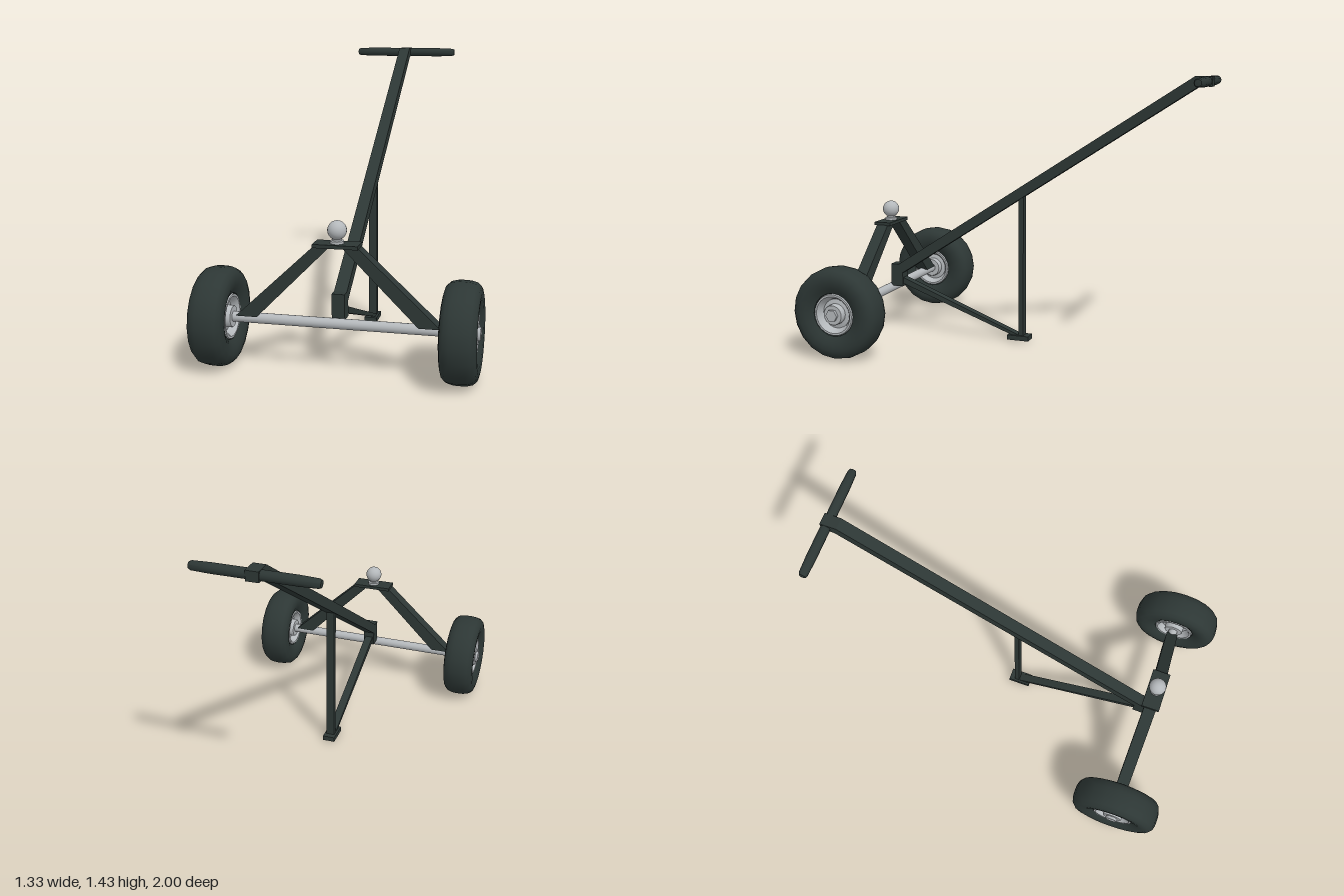
import * as THREE from 'three';
import { toCreasedNormals } from 'three/addons/utils/BufferGeometryUtils.js';

const AXLE_Y = 0.237, AXLE_Z = 0.765;

export function createModel() {
  const model = new THREE.Group();
  model.name = 'trailerDolly';

  const dark = new THREE.MeshStandardMaterial({ color: 0x2d3735 });
  dark.name = 'dark paint and rubber';
  const steel = new THREE.MeshStandardMaterial({ color: 0xb4b8bb });
  steel.name = 'bare steel';

  function add(parent, name, geometry, material, x = 0, y = 0, z = 0) {
    const mesh = new THREE.Mesh(geometry, material);
    mesh.name = name;
    mesh.position.set(x, y, z);
    parent.add(mesh);
    return mesh;
  }

  // Extrudes an outline drawn in x, y, centred on its depth
  function slab(points, depth) {
    const shape = new THREE.Shape(points.map(([x, y]) => new THREE.Vector2(x, y)));
    return new THREE.ExtrudeGeometry(shape, { depth, bevelEnabled: false }).translate(0, 0, -depth / 2);
  }

  // Extrudes a side outline given as [z, y] across the width of the model
  const sideSlab = (points, width) =>
    slab(points.map(([z, y]) => [-z, y]), width).rotateY(Math.PI / 2);

  // Spins a half profile [radius, offset] mirrored about the wheel's middle plane
  function spin(half, segments, closed) {
    const points = [
      ...half.map(([r, o]) => new THREE.Vector2(r, -o)),
      ...half.slice().reverse().map(([r, o]) => new THREE.Vector2(r, o)),
    ];
    if (closed) points.push(points[0].clone());
    return toCreasedNormals(new THREE.LatheGeometry(points, segments).rotateZ(-Math.PI / 2), 0.7);
  }

  // Wheels
  const tireGeometry = spin([
    [0.104, 0.04], [0.112, 0.062], [0.13, 0.072], [0.155, 0.082], [0.185, 0.085],
    [0.212, 0.078], [0.229, 0.06], [0.236, 0.035], [0.238, 0.012],
  ], 20, true);
  const rimGeometry = spin([
    [0, 0.07], [0.05, 0.07], [0.053, 0.066], [0.053, 0.035], [0.076, 0.03],
    [0.084, 0.05], [0.096, 0.066], [0.106, 0.066], [0.11, 0.05],
  ], 24, false);
  const nutGeometry = new THREE.CylinderGeometry(0.032, 0.032, 0.02, 6).rotateZ(Math.PI / 2);
  for (const side of [-1, 1]) {
    const wheel = new THREE.Group();
    wheel.name = side > 0 ? 'leftWheel' : 'rightWheel';
    wheel.position.set(side * 0.58, AXLE_Y, AXLE_Z);
    add(wheel, 'tire', tireGeometry, dark);
    add(wheel, 'rim', rimGeometry, steel);
    add(wheel, 'hubNut', nutGeometry, steel, side * 0.075);
    model.add(wheel);
  }

  // Axle
  add(model, 'axle', new THREE.CylinderGeometry(0.025, 0.025, 1.04, 20).rotateZ(Math.PI / 2),
    steel, 0, AXLE_Y, AXLE_Z);

  // Sloping legs that carry the hitch plate
  for (const side of [-1, 1]) {
    const outline = [[0.487, 0.252], [0.384, 0.252], [0.03, 0.608], [0.106, 0.608]];
    add(model, side > 0 ? 'leftLeg' : 'rightLeg',
      slab(outline.map(([x, y]) => [x * side, y]), 0.065), dark, 0, 0, AXLE_Z);
  }
  add(model, 'hitchPlate', new THREE.BoxGeometry(0.214, 0.017, 0.095), dark, 0, 0.6135, AXLE_Z);

  // Hitch ball on its collar and neck
  const neck = [[0, 0.62], [0.032, 0.62], [0.032, 0.634], [0.023, 0.637], [0.021, 0.652], [0, 0.652]];
  add(model, 'ballNeck', toCreasedNormals(new THREE.LatheGeometry(
    neck.map(([r, y]) => new THREE.Vector2(r, y)), 24), 0.7), steel, 0, 0, AXLE_Z);
  add(model, 'hitchBall', new THREE.SphereGeometry(0.045, 24, 16), steel, 0, 0.683, AXLE_Z);

  // Long bar, from an upright block at the axle to a level end at the handle
  add(model, 'handleBar', sideSlab([
    [0.755, 0.25], [0.755, 0.375], [0.71, 0.375], [-0.915, 1.43], [-1, 1.43],
    [-1, 1.38], [-0.935, 1.38], [0.685, 0.328], [0.685, 0.25],
  ], 0.062), dark);

  // Handle grips with rounded ends
  const grip = [[0, 0.03], [0.023, 0.03], [0.025, 0.04], [0.025, 0.2], [0.022, 0.285], [0.017, 0.297], [0, 0.3]];
  const gripGeometry = toCreasedNormals(
    new THREE.LatheGeometry(grip.map(([r, y]) => new THREE.Vector2(r, y)), 14), 0.7);
  for (const side of [-1, 1]) {
    const mesh = add(model, side > 0 ? 'leftGrip' : 'rightGrip', gripGeometry, dark, 0, 1.405, -0.974);
    mesh.rotation.z = -side * Math.PI / 2;
  }

  // Rear stand: post, brace and foot
  add(model, 'standPost', new THREE.BoxGeometry(0.044, 0.78, 0.026), dark, 0, 0.415, -0.016);
  add(model, 'standBrace', sideSlab([
    [0.72, 0.312], [0.0, 0.037], [0.0, 0.02], [0.72, 0.277],
  ], 0.044), dark);
  add(model, 'standFoot', new THREE.BoxGeometry(0.066, 0.026, 0.12), dark, 0, 0.021, 0);

  return model;
}
